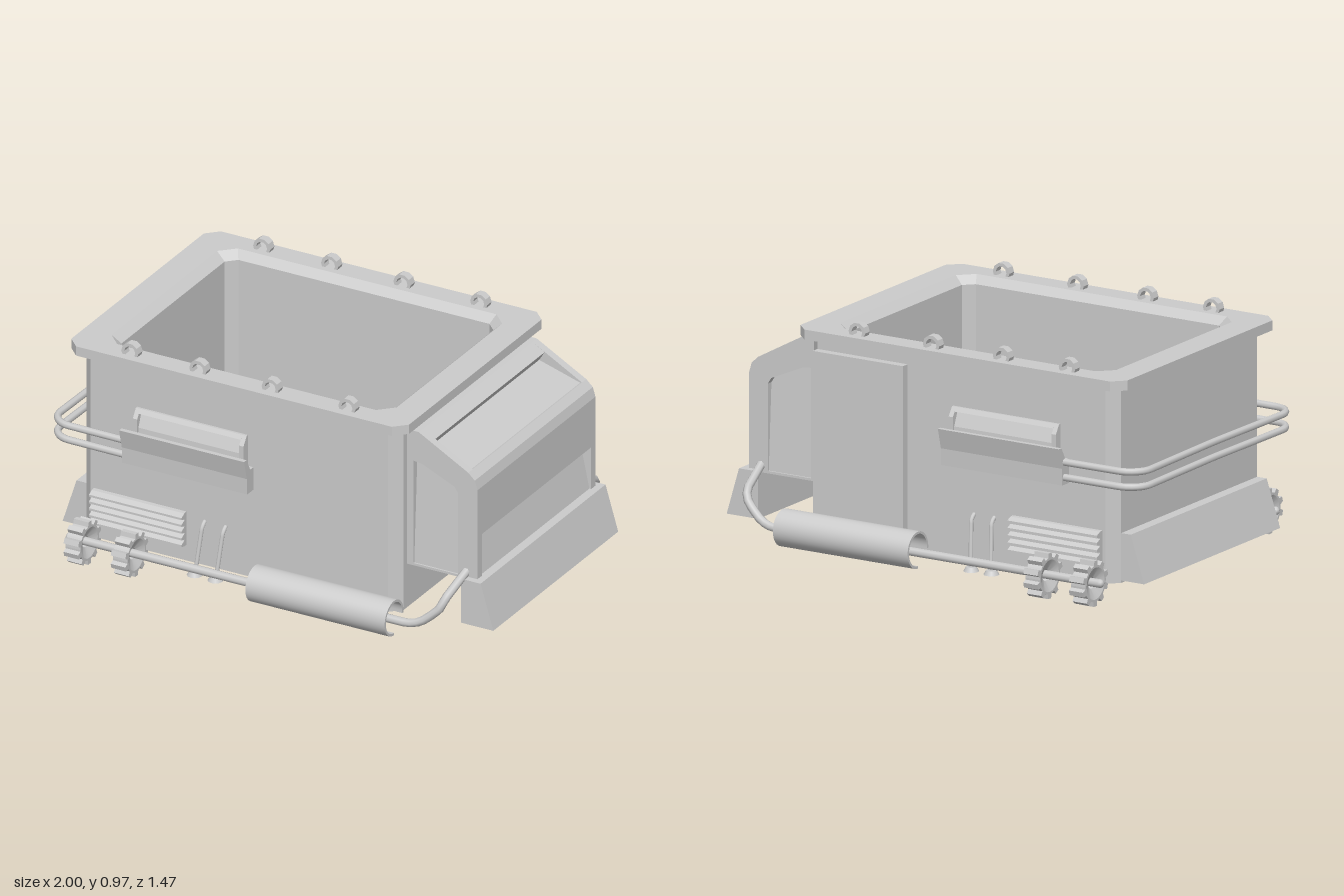
import * as THREE from 'three';
import { toCreasedNormals } from 'three/addons/utils/BufferGeometryUtils.js';

const mat = new THREE.MeshStandardMaterial({ color: 0xcccccc, side: THREE.DoubleSide });

function add(parent, name, geometry) {
  const mesh = new THREE.Mesh(geometry, mat);
  mesh.name = name;
  parent.add(mesh);
  return mesh;
}

function box(parent, name, x0, x1, y0, y1, z0, z1) {
  const g = new THREE.BoxGeometry(x1 - x0, y1 - y0, z1 - z0);
  return add(parent, name, g.translate((x0 + x1) / 2, (y0 + y1) / 2, (z0 + z1) / 2));
}

const path = (pts) => pts.map(([x, y]) => new THREE.Vector2(x, y));

// Profile in (x, y), extruded from z0 to z1
function alongZ(pts, z0, z1, hole) {
  const shape = new THREE.Shape(path(pts));
  if (hole) shape.holes.push(new THREE.Path(path(hole)));
  const g = new THREE.ExtrudeGeometry(shape, { depth: z1 - z0, bevelEnabled: false });
  return g.translate(0, 0, z0);
}

// Profile in (z, y), extruded from x0 to x1
function alongX(pts, x0, x1, hole) {
  const flip = (list) => list && list.map(([z, y]) => [-z, y]);
  return alongZ(flip(pts), x0, x1, flip(hole)).rotateY(Math.PI / 2);
}

function circle(cx, cy, r, n, a0 = 0, a1 = Math.PI * 2) {
  const closed = a1 - a0 > 6.28;
  return Array.from({ length: closed ? n : n + 1 }, (_, i) => {
    const a = a0 + ((a1 - a0) * i) / n;
    return [cx + r * Math.cos(a), cy + r * Math.sin(a)];
  });
}

// Rectangle with cut corners at height y
function octagon(x0, x1, z, y, c) {
  return [[x1, -z + c], [x1, z - c], [x1 - c, z], [x0 + c, z], [x0, z - c], [x0, -z + c], [x0 + c, -z], [x1 - c, -z]]
    .map(([px, pz]) => [px, y, pz]);
}

// Flat quads between successive loops
function loft(loops) {
  const pos = [];
  for (let i = 0; i < loops.length - 1; i++) {
    const A = loops[i], B = loops[i + 1], n = A.length;
    for (let j = 0; j < n; j++) {
      const k = (j + 1) % n;
      pos.push(...A[j], ...B[j], ...B[k], ...A[j], ...B[k], ...A[k]);
    }
  }
  const g = new THREE.BufferGeometry();
  g.setAttribute('position', new THREE.Float32BufferAttribute(pos, 3));
  g.computeVertexNormals();
  return g;
}

// Straight runs joined by quadratic bends
function pipe(parent, name, pts, r, segs = 64) {
  const curve = new THREE.CurvePath();
  const v = pts.map((p) => new THREE.Vector3(...p));
  let from = v[0];
  for (let i = 1; i < v.length - 1; i++) {
    const d = Math.min(0.06, v[i].distanceTo(v[i - 1]) / 2, v[i].distanceTo(v[i + 1]) / 2);
    const p = v[i].clone().add(v[i - 1].clone().sub(v[i]).setLength(d));
    const q = v[i].clone().add(v[i + 1].clone().sub(v[i]).setLength(d));
    if (from.distanceTo(p) > 1e-4) curve.add(new THREE.LineCurve3(from, p));
    curve.add(new THREE.QuadraticBezierCurve3(p, v[i], q));
    from = q;
  }
  curve.add(new THREE.LineCurve3(from, v[v.length - 1]));
  add(parent, name, new THREE.TubeGeometry(curve, segs, r, 8));
  for (const p of [v[0], v[v.length - 1]]) {
    add(parent, name + 'End', new THREE.SphereGeometry(r, 8, 6).translate(p.x, p.y, p.z));
  }
}

function buildHull(g) {
  // Outer walls, with a raised lip around the underside
  const ring = (inset, y) => octagon(-0.857 + inset, 0.59 - inset, 0.545 - inset, y, 0.045);
  add(g, 'hull', loft([ring(0.08, 0.1), ring(0.05, 0.07), ring(0, 0.07), ring(0, 0.88)]));
  box(g, 'floor', -0.8, 0.53, 0.1, 0.12, -0.49, 0.49);
  // Rim, bevelled into the straight inner walls
  add(g, 'rimAndInnerWalls', loft([
    octagon(-0.84, 0.57, 0.53, 0.877, 0.045),
    octagon(-0.907, 0.633, 0.583, 0.877, 0.05),
    octagon(-0.907, 0.633, 0.583, 0.918, 0.05),
    octagon(-0.785, 0.515, 0.485, 0.918, 0.06),
    octagon(-0.745, 0.48, 0.455, 0.885, 0.04),
    octagon(-0.745, 0.48, 0.455, 0.11, 0.04),
  ]));
}

function buildCab(g) {
  const top = [[0.585, 0.865], [0.645, 0.862]];
  const nose = [[0.87, 0.738], [0.9, 0.71], [0.912, 0.67]];
  // Core with sunken windscreen and lower front panel
  add(g, 'cabCore', alongZ([[0.585, 0.27], ...top, [0.7, 0.83], [0.675, 0.79], [0.862, 0.735], ...nose,
    [0.912, 0.46], [0.865, 0.46], [0.905, 0.27]], -0.442, 0.442));
  const window = [[0.62, 0.275], [0.824, 0.275], [0.824, 0.635], [0.808, 0.66], [0.66, 0.725], [0.62, 0.73]];
  for (const s of [1, -1]) {
    const z = s > 0 ? 0.44 : -0.475;
    add(g, 'cabSide', alongZ([[0.585, 0.265], ...top, ...nose, [0.912, 0.265]], z, z + 0.035, window));
    // Window pane leaning inwards towards the top
    add(g, 'cabWindow', alongX([[s * 0.43, 0.272], [s * 0.468, 0.272], [s * 0.443, 0.735], [s * 0.43, 0.735]], 0.615, 0.83));
  }
  add(g, 'frontBumper', alongZ([[0.852, 0.08], [1, 0.08], [0.942, 0.275], [0.852, 0.275]], -0.503, 0.503));
  add(g, 'rearBumper', alongZ([[-0.85, 0.08], [-0.965, 0.08], [-0.902, 0.275], [-0.85, 0.275]], -0.5, 0.5));
}

function buildSide(g) {
  // Lifting rings on the rim
  for (const x of [-0.632, -0.322, 0.008, 0.358]) {
    add(g, 'liftingRing', alongZ(circle(x, 0.932, 0.039, 10), 0.513, 0.548, circle(x, 0.932, 0.025, 10)));
  }

  // Side box with flared lip, and a framed slot with a sloping top above it
  add(g, 'sideBox', alongX([[0.54, 0.46], [0.595, 0.46], [0.598, 0.53], [0.62, 0.615], [0.6, 0.615], [0.57, 0.56], [0.54, 0.56]], -0.64, -0.07));
  const slot = [[0.54, 0.55], [0.58, 0.55], [0.58, 0.66], [0.555, 0.697], [0.54, 0.697]];
  for (const x of [-0.6, -0.115]) add(g, 'slotEnd', alongX(slot, x, x + 0.02));
  add(g, 'slotTop', alongX([[0.54, 0.68], [0.567, 0.68], [0.555, 0.697], [0.54, 0.697]], -0.58, -0.115));
  add(g, 'slotPanel', alongX([[0.54, 0.55], [0.575, 0.55], [0.57, 0.62], [0.545, 0.68], [0.54, 0.68]], -0.58, -0.115));

  // Corrugated vent
  const ribs = [[0.54, 0.14]];
  for (let i = 0; i < 5; i++) {
    const y = 0.14 + i * 0.03;
    ribs.push([0.562, y], [0.585, y + 0.006], [0.585, y + 0.015], [0.562, y + 0.026]);
  }
  add(g, 'vent', alongX([...ribs, [0.54, 0.288]], -0.797, -0.375));

  // Small levers with feet
  for (const x of [-0.29, -0.195]) {
    pipe(g, 'lever', [[x, 0.265, 0.55], [x, 0.25, 0.57], [x - 0.015, 0.06, 0.597]], 0.009, 16);
    add(g, 'leverFoot', new THREE.CylinderGeometry(0.022, 0.032, 0.018, 12).translate(x - 0.018, 0.055, 0.597));
  }

  // Long lower pipe rising to the cab
  pipe(g, 'lowerPipe', [[-0.85, 0.1, 0.645], [0.73, 0.1, 0.645], [0.825, 0.185, 0.622], [0.838, 0.225, 0.61], [0.86, 0.3, 0.46]], 0.018);

  // Curved shield, open towards the hull underneath
  const a0 = -Math.PI / 2, a1 = Math.PI + 0.1;
  const arc = [...circle(0.657, 0.114, 0.076, 28, a0, a1), ...circle(0.657, 0.114, 0.066, 28, a0, a1).reverse()];
  add(g, 'pipeShield', toCreasedNormals(alongX(arc, 0, 0.635), 0.5));

  // Toothed wheels with dished faces
  const teeth = [];
  for (let i = 0; i < 10; i++) {
    [[0, 0.075], [0.15, 0.075], [0.22, 0.094], [0.45, 0.094], [0.52, 0.075]].forEach(([t, r]) => {
      const a = i * Math.PI / 5 + t;
      teeth.push([0.643 + r * Math.cos(a), 0.096 + r * Math.sin(a)]);
    });
  }
  for (const x of [-0.828, -0.613]) {
    add(g, 'toothedWheel', alongX(teeth, x, x + 0.067, circle(0.643, 0.096, 0.066, 20)));
    const dish = new THREE.LatheGeometry(path([[0.066, 0], [0.024, 0.02], [0.024, 0.047], [0.066, 0.067]]), 20);
    add(g, 'wheelDish', toCreasedNormals(dish.rotateZ(-Math.PI / 2).translate(x, 0.096, 0.643), 0.5));
  }
}

export function createModel() {
  const model = new THREE.Group();
  model.name = 'hopperVehicle';
  buildHull(model);
  buildCab(model);

  for (const s of [1, -1]) {
    const side = new THREE.Group();
    side.name = s > 0 ? 'frontSide' : 'backSide';
    buildSide(side);
    side.scale.z = s;
    model.add(side);
  }

  // Door on the back side only
  box(model, 'door', 0.12, 0.545, 0.15, 0.835, -0.58, -0.53);

  // Twin rails around the rear end
  for (const y of [0.49, 0.553]) {
    pipe(model, 'rearRail', [[-0.6, y, 0.578], [-0.93, y, 0.575], [-0.985, y, 0.52],
      [-0.975, y, 0], [-0.985, y, -0.52], [-0.93, y, -0.575], [-0.6, y, -0.578]], 0.015, 90);
  }
  return model;
}
